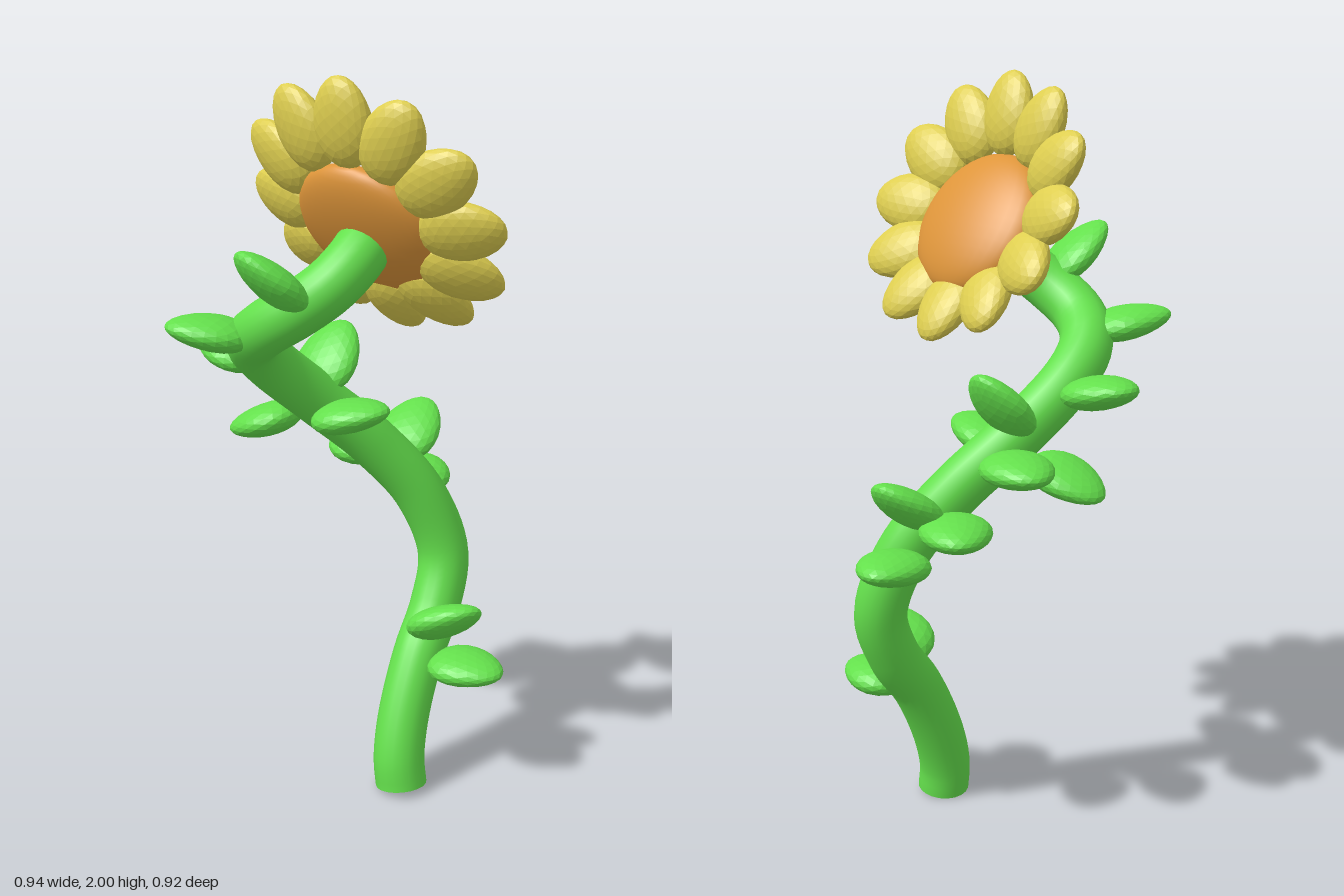
import * as THREE from 'three';

const green = new THREE.MeshStandardMaterial({ color: 0x64e04c });
green.name = 'leafGreen';
const yellow = new THREE.MeshStandardMaterial({ color: 0xdece50 });
yellow.name = 'petalYellow';
const orange = new THREE.MeshStandardMaterial({ color: 0xde953a });
orange.name = 'discOrange';

const vec = (a) => new THREE.Vector3(...a);

// Faceted egg: length along y, narrowing to the tip, thin along z
function eggGeometry(width, length, thickness, taper) {
  const geo = new THREE.IcosahedronGeometry(1, 3);
  const p = geo.attributes.position;
  for (let i = 0; i < p.count; i++) {
    const y = p.getY(i);
    const s = 1 - taper * y;
    p.setXYZ(i, p.getX(i) * s * width, y * length, p.getZ(i) * s * thickness);
  }
  geo.computeVertexNormals();
  return geo;
}

// Turn a part so that y follows dir and z is as near as possible to normal
function orient(object, dir, normal) {
  const y = dir.clone().normalize();
  const x = new THREE.Vector3().crossVectors(y, normal).normalize();
  const z = new THREE.Vector3().crossVectors(x, y);
  object.quaternion.setFromRotationMatrix(new THREE.Matrix4().makeBasis(x, y, z));
}

function makeStem() {
  const stem = new THREE.Group();
  stem.name = 'stem';
  const radius = 0.071;
  const path = new THREE.CatmullRomCurve3([
    [0.122, 0.018, 0.005], [0.111, 0.09, 0], [0.102, 0.2, -0.035], [0.1, 0.36, -0.115],
    [0.1, 0.48, -0.205], [0.092, 0.62, -0.258], [0.035, 0.8, -0.22], [-0.06, 0.96, -0.125],
    [-0.155, 1.1, 0], [-0.207, 1.23, 0.14], [-0.187, 1.31, 0.235], [-0.11, 1.37, 0.292],
    [-0.01, 1.435, 0.29], [0.06, 1.495, 0.25], [0.09, 1.55, 0.19], [0.09, 1.595, 0.12],
  ].map(vec));
  const tube = new THREE.Mesh(new THREE.TubeGeometry(path, 80, radius, 20), green);
  tube.name = 'stemTube';
  // Closed cut at the foot
  const cap = new THREE.Mesh(new THREE.CircleGeometry(radius, 20), green);
  cap.name = 'stemFoot';
  cap.position.copy(path.getPoint(0));
  cap.quaternion.setFromUnitVectors(new THREE.Vector3(0, 0, 1), path.getTangent(0).negate());
  stem.add(tube, cap);
  return stem;
}

function makeLeaves() {
  const leaves = new THREE.Group();
  leaves.name = 'leaves';
  const geo = eggGeometry(0.093, 0.112, 0.044, 0.2);
  const up = [0, 1, 0];
  // centre, direction of the tip, upper side
  [
    [[0.253, 0.36, -0.122], [1, 0.05, 0.15], up],
    [[0.19, 0.49, -0.11], [0.85, 0.45, 0], [-0.45, 1, -0.4]],
    [[-0.052, 0.797, -0.355], [-0.4, 0.1, -1], up],
    [[-0.045, 0.95, -0.295], [0, 0.6, -0.85], up],
    [[-0.18, 0.892, -0.25], [-0.75, 0, -0.65], up],
    [[-0.278, 1.05, -0.125], [-0.9, 0, -0.4], up],
    [[-0.322, 1.012, 0.01], [-0.95, -0.35, 0.05], up],
    [[-0.03, 1.08, 0.02], [1, 0.25, 0], up],
    [[-0.17, 1.195, -0.08], [0.05, 0.8, -0.7], up],
    [[-0.363, 1.228, 0.09], [-1, 0.2, -0.2], up],
    [[-0.236, 1.357, 0.355], [-0.65, 0.2, 0.75], up],
    [[-0.031, 1.522, 0.374], [-0.3, 0.65, 0.65], up],
  ].forEach(([centre, dir, normal], i) => {
    const leaf = new THREE.Mesh(geo, green);
    leaf.name = `leaf${i + 1}`;
    leaf.position.set(...centre);
    orient(leaf, vec(dir), vec(normal));
    leaves.add(leaf);
  });
  return leaves;
}

// Flower head, built facing its own +z and then turned to face back and up
function makeHead() {
  const head = new THREE.Group();
  head.name = 'flowerHead';
  // The disc leans a little further back than the ring of petals
  const disc = new THREE.Mesh(new THREE.SphereGeometry(1, 32, 20), orange);
  disc.name = 'seedDisc';
  disc.scale.set(0.202, 0.202, 0.07);
  disc.position.set(0, -0.034, -0.012);
  disc.rotation.x = -0.11;
  head.add(disc);
  const geo = eggGeometry(0.083, 0.114, 0.045, 0.1);
  const count = 12;
  const cup = 0.27;
  for (let i = 0; i < count; i++) {
    const a = (i / count) * Math.PI * 2;
    const out = new THREE.Vector3(Math.sin(a), Math.cos(a), 0);
    const petal = new THREE.Mesh(geo, yellow);
    petal.name = `petal${i + 1}`;
    petal.position.copy(out).multiplyScalar(0.268);
    petal.position.z = 0.005;
    const dir = out.multiplyScalar(Math.cos(cup));
    dir.z = Math.sin(cup);
    orient(petal, dir, new THREE.Vector3(0, 0, 1));
    head.add(petal);
  }
  head.position.set(0.085, 1.648, 0.113);
  const face = new THREE.Vector3(0.07, 0.45, -0.9).normalize();
  const top = new THREE.Vector3(0, 0.9, 0.45);
  orient(head, top.addScaledVector(face, -top.dot(face)), face);
  return head;
}

export function createModel() {
  const model = new THREE.Group();
  model.name = 'sunflower';
  model.add(makeStem(), makeLeaves(), makeHead());
  return model;
}
